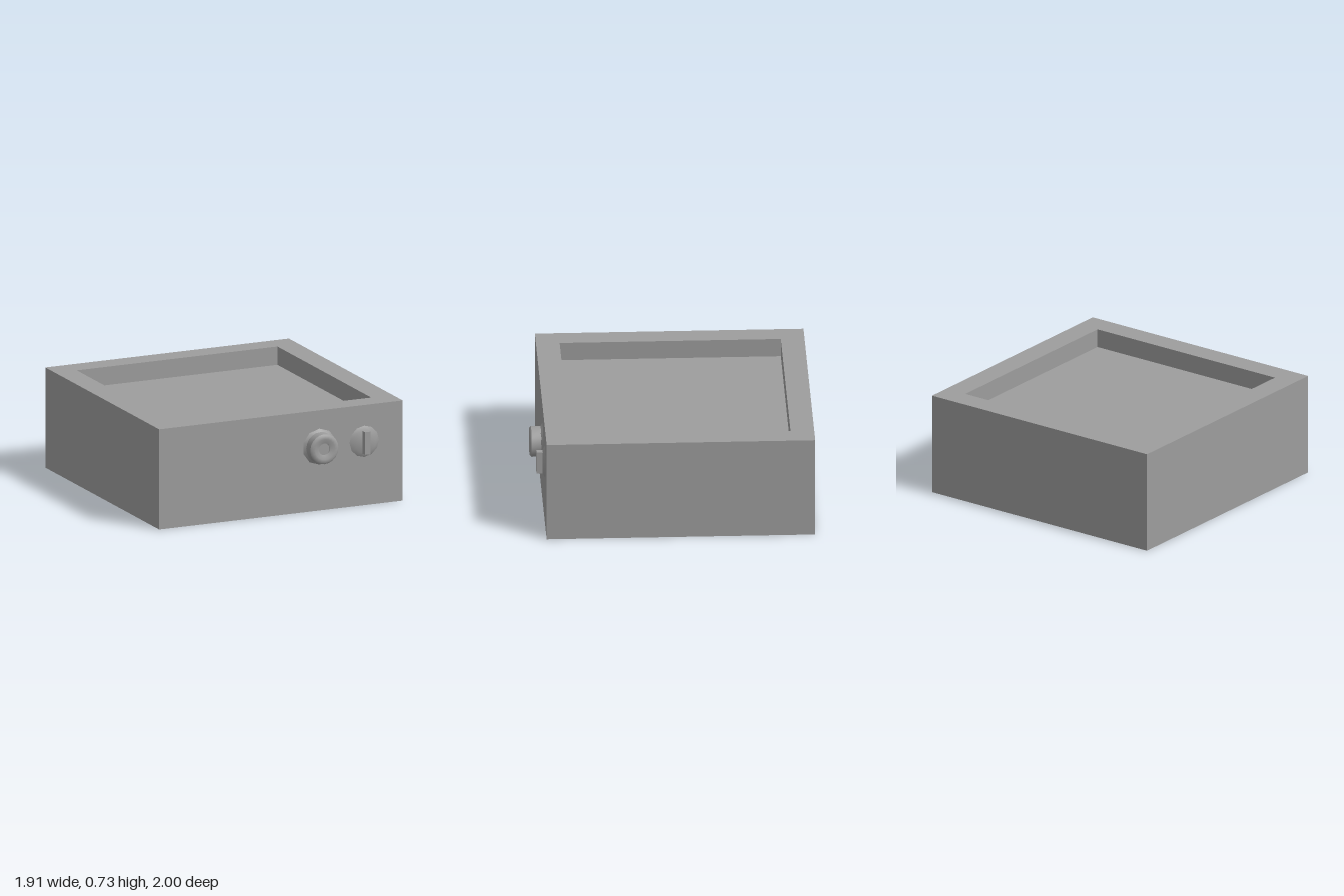
import * as THREE from 'three';
import { toCreasedNormals } from 'three/addons/utils/BufferGeometryUtils.js';

const material = new THREE.MeshStandardMaterial({ color: 0x9d9d9d });

// Revolve a [radius, height] profile, keeping sharp edges where the bend exceeds the crease angle
function turned(name, profile, segments, crease, start = 0) {
  const points = profile.map(([r, h]) => new THREE.Vector2(r, h));
  const geometry = toCreasedNormals(new THREE.LatheGeometry(points, segments, start), crease);
  const mesh = new THREE.Mesh(geometry, material);
  mesh.name = name;
  return mesh;
}

// Group of parts mounted on the front panel, with local +y pointing out of the panel
function panelControl(name, x, ...parts) {
  const group = new THREE.Group();
  group.name = name;
  group.add(...parts);
  group.rotation.x = Math.PI / 2;
  group.position.set(x, 0.468, 0.906);
  return group;
}

export function createModel() {
  const model = new THREE.Group();

  // Case: a four-sided shell with a shallow tray sunk into the top
  const diagonal = Math.SQRT2;
  const body = turned('caseWithTopRecess', [
    [0, 0], [0.953 * diagonal, 0], [0.953 * diagonal, 0.734],
    [0.785 * diagonal, 0.734], [0.785 * diagonal, 0.6], [0, 0.6],
  ], 4, 0.3, Math.PI / 4);
  body.position.z = -0.047;
  model.add(body);

  // Rotary knob on a sloped collar, with a softly dished face and a small centre hole
  const collar = turned('knobCollar', [[0.132, 0], [0.108, 0.018], [0, 0.018]], 10, 0.6);
  const knob = turned('knob', [
    [0.11, 0.01], [0.11, 0.082], [0.097, 0.094], [0.075, 0.094],
    [0.043, 0.084], [0.043, 0.077], [0, 0.077],
  ], 20, 0.8);
  model.add(panelControl('knobAssembly', 0.302, collar, knob));

  // Toggle switch: sloped base with an upright lever
  const base = turned('switchBase', [[0.115, 0], [0.085, 0.016], [0, 0.016]], 12, 0.6);
  const lever = new THREE.Mesh(new THREE.BoxGeometry(0.045, 0.06, 0.165), material);
  lever.name = 'switchLever';
  lever.position.y = 0.03;
  model.add(panelControl('switchAssembly', 0.652, base, lever));

  return model;
}
